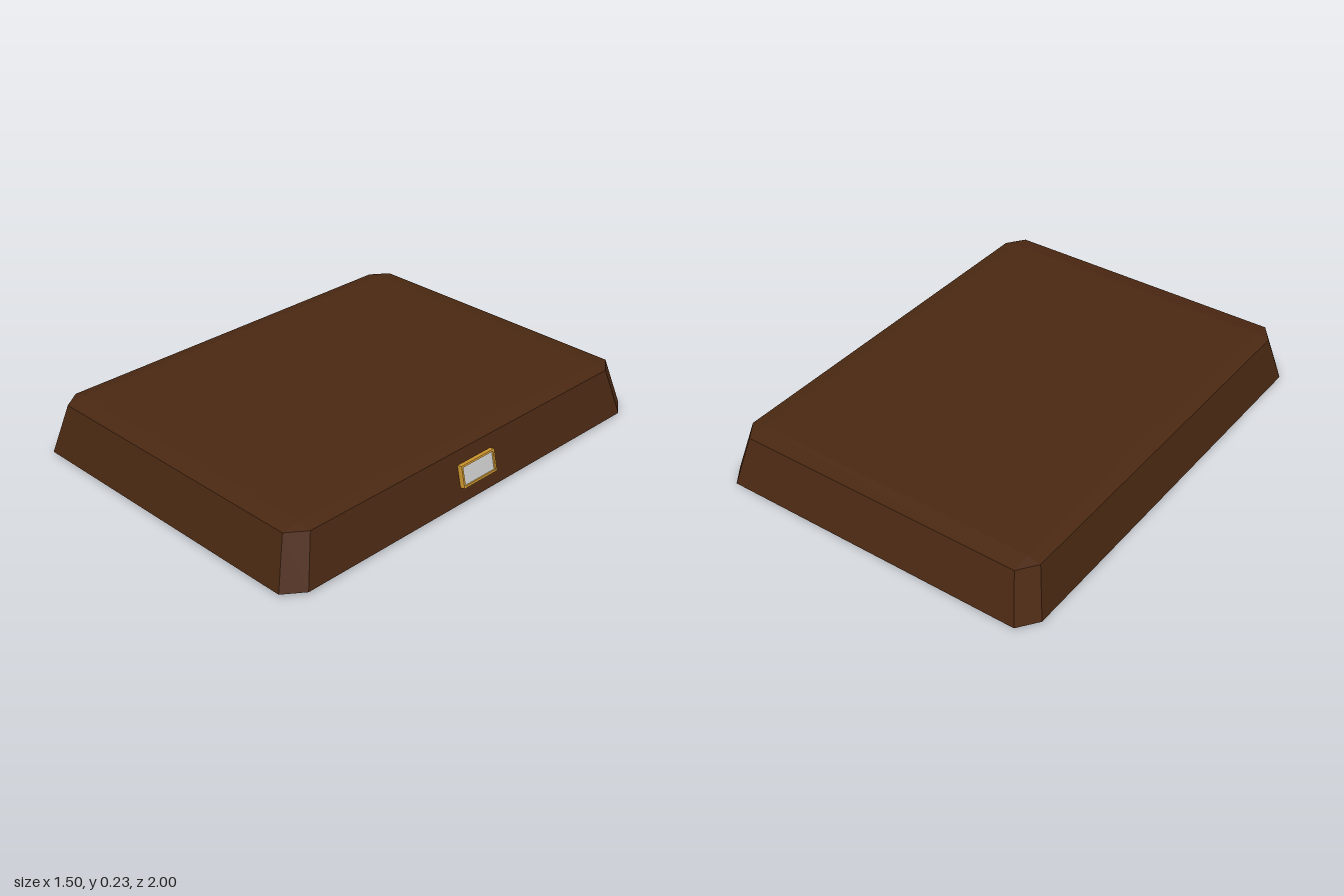
import * as THREE from 'three';
import { ConvexGeometry } from 'three/addons/geometries/ConvexGeometry.js';

const material = (color) => new THREE.MeshStandardMaterial({ color, flatShading: true });

// Tapered block with bevelled edges: each corner is cut into a small triangle.
function bevelledBlock(bottom, top) {
  const points = [];
  for (const { x, z, bx, bz, yFace, yEdge } of [bottom, top]) {
    for (const sx of [-1, 1]) {
      for (const sz of [-1, 1]) {
        points.push(
          new THREE.Vector3(sx * bx, yFace, sz * bz),
          new THREE.Vector3(sx * x, yEdge, sz * bz),
          new THREE.Vector3(sx * bx, yEdge, sz * z)
        );
      }
    }
  }
  return new ConvexGeometry(points);
}

export function createModel() {
  const model = new THREE.Group();
  model.name = 'case';
  const brown = material(0x4a2812);
  const gold = material(0xd39a30);
  const grey = material(0xcccccc);

  function addBox(parent, name, size, position, mat) {
    const mesh = new THREE.Mesh(new THREE.BoxGeometry(...size), mat);
    mesh.position.set(...position);
    mesh.name = name;
    parent.add(mesh);
  }

  // Main body, wider at the base
  const body = new THREE.Mesh(
    bevelledBlock(
      { x: 0.748, z: 1.0, bx: 0.685, bz: 0.915, yFace: 0, yEdge: 0.013 },
      { x: 0.7, z: 0.937, bx: 0.642, bz: 0.858, yFace: 0.235, yEdge: 0.223 }
    ),
    brown
  );
  body.name = 'body';
  body.position.x = -0.006;
  model.add(body);

  // Framed plate lying on the sloping left side
  const clasp = new THREE.Group();
  clasp.name = 'clasp';
  clasp.position.set(0.716, 0.121, 0);
  clasp.rotation.z = 0.225;
  model.add(clasp);

  const height = 0.094, width = 0.192, bar = 0.008, depth = 0.034;
  for (const s of [-1, 1]) {
    addBox(clasp, 'frameRail', [depth, bar, width], [0.006, s * (height - bar) / 2, 0], gold);
    addBox(clasp, 'frameSide', [depth, height - 2 * bar, bar], [0.006, 0, s * (width - bar) / 2], gold);
  }
  addBox(clasp, 'plate', [0.026, height - 2 * bar, width - 2 * bar], [0.002, 0, 0], grey);

  return model;
}
